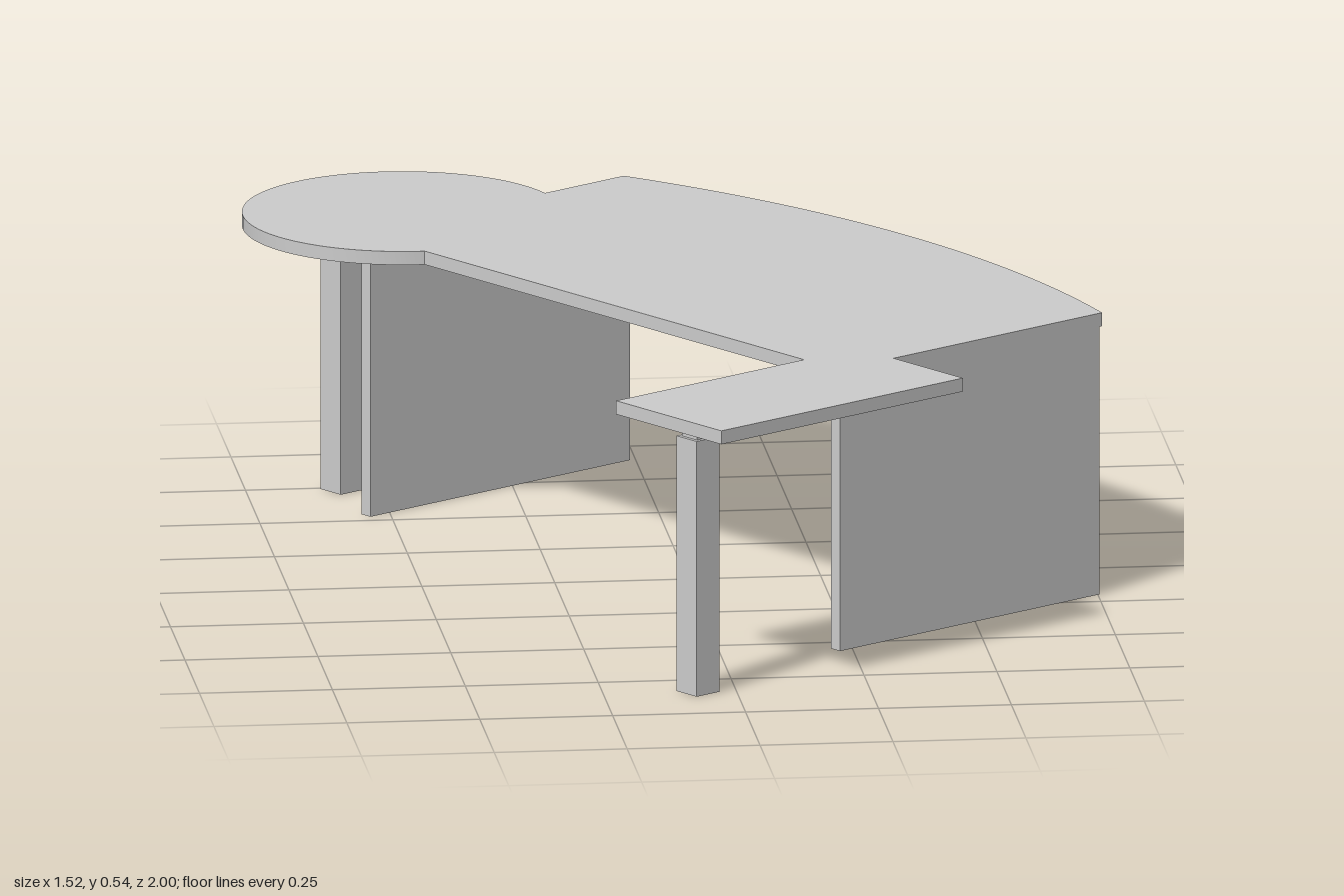
import * as THREE from 'three';
import { toCreasedNormals } from 'three/addons/utils/BufferGeometryUtils.js';

const material = new THREE.MeshStandardMaterial({ color: 0xcccccc });
const TOP = 0.543, UNDER = 0.517;            // worktop surface and underside
const U0 = -0.766, U1 = 0.593;               // ends of the main worktop
const V0 = -0.14;                            // straight user-side edge
const ARC = { u: (U0 + U1) / 2, v: -1.613, r: 2.23 }; // curved front edge

function addMesh(parent, name, geometry) {
  const mesh = new THREE.Mesh(geometry, material);
  mesh.name = name;
  parent.add(mesh);
  return mesh;
}

// Raise a plan outline (u along the desk, v towards the curved edge) from y0 to y1
function slab(shape, y0, y1) {
  const g = new THREE.ExtrudeGeometry(shape, { depth: y1 - y0, bevelEnabled: false, curveSegments: 40 });
  g.rotateX(-Math.PI / 2);
  g.translate(0, y0, 0);
  return toCreasedNormals(g, 0.5);
}

function block(u0, u1, v0, v1, y0, y1) {
  const g = new THREE.BoxGeometry(u1 - u0, y1 - y0, v1 - v0);
  g.translate((u0 + u1) / 2, (y0 + y1) / 2, -(v0 + v1) / 2);
  return g;
}

// Piece of the curved screen between two distances from the desk's middle
function arcBand(s0, s1, y0, y1) {
  const outer = ARC.r - 0.02, inner = outer - 0.018;
  const a0 = Math.PI / 2 - Math.asin(s1 / outer), a1 = Math.PI / 2 - Math.asin(s0 / outer);
  const shape = new THREE.Shape();
  shape.absarc(ARC.u, ARC.v, outer, a0, a1, false);
  shape.absarc(ARC.u, ARC.v, inner, a1, a0, true);
  shape.closePath();
  return slab(shape, y0, y1);
}

export function createModel() {
  const model = new THREE.Group();
  model.name = 'desk';
  const desk = new THREE.Group();
  desk.name = 'deskParts';
  desk.rotation.y = -0.961;
  model.add(desk);

  // Main worktop: bowed outer edge, corner notched for the return
  const ret = { u0: 0.491, u1: 0.79, v0: -0.607, v1: -0.007 };
  const half = Math.asin((U1 - U0) / 2 / ARC.r);
  const main = new THREE.Shape();
  main.moveTo(U0, V0);
  main.lineTo(ret.u0, V0);
  main.lineTo(ret.u0, ret.v1);
  main.lineTo(U1, ret.v1);
  main.absarc(ARC.u, ARC.v, ARC.r, Math.PI / 2 - half, Math.PI / 2 + half, false);
  main.closePath();
  addMesh(desk, 'mainWorktop', slab(main, UNDER, TOP));

  // Return worktop
  addMesh(desk, 'returnWorktop', block(ret.u0, ret.u1, ret.v0, ret.v1, UNDER, TOP));

  // Round meeting top, cut where it meets the main worktop
  const cu = -0.838, cv = 0.024, cr = 0.3;
  const start = Math.acos((U0 - cu) / cr);
  const end = Math.asin((V0 - cv) / cr) + Math.PI * 2;
  const round = new THREE.Shape();
  round.moveTo(U0, V0);
  round.absarc(cu, cv, cr, start, end, false);
  round.closePath();
  addMesh(desk, 'roundWorktop', slab(round, UNDER, TOP));

  // End panels
  const t = 0.025;
  addMesh(desk, 'endPanelRear', block(U0, U0 + t, V0, 0.505, 0, UNDER));
  addMesh(desk, 'endPanelFront', block(U1 - t, U1, V0, 0.505, 0, UNDER));

  // Curved modesty screen with an upright slot near each end
  const screen = new THREE.Group();
  screen.name = 'modestyScreen';
  desk.add(screen);
  const yLow = 0.317, ySlot0 = 0.347, ySlot1 = 0.483, yHigh = 0.511;
  const sEnd = 0.655, sOut = 0.64, sIn = 0.607;
  addMesh(screen, 'lowerRail', arcBand(-sEnd, sEnd, yLow, ySlot0));
  addMesh(screen, 'upperRail', arcBand(-sEnd, sEnd, ySlot1, yHigh));
  addMesh(screen, 'screenCentre', arcBand(-sIn, sIn, ySlot0, ySlot1));
  addMesh(screen, 'screenEndRear', arcBand(-sEnd, -sOut, ySlot0, ySlot1));
  addMesh(screen, 'screenEndFront', arcBand(sOut, sEnd, ySlot0, ySlot1));

  // Square legs with a slimmer neck under the top
  for (const [name, u, v] of [['returnLeg', 0.645, -0.538], ['roundLeg', -0.93, -0.045]]) {
    const leg = new THREE.Group();
    leg.name = name;
    desk.add(leg);
    const w = 0.0285, n = 0.021;
    addMesh(leg, 'post', block(u - w, u + w, v - w, v + w, 0, 0.493));
    addMesh(leg, 'neck', block(u - n, u + n, v - n, v + n, 0.493, UNDER));
  }

  return model;
}
